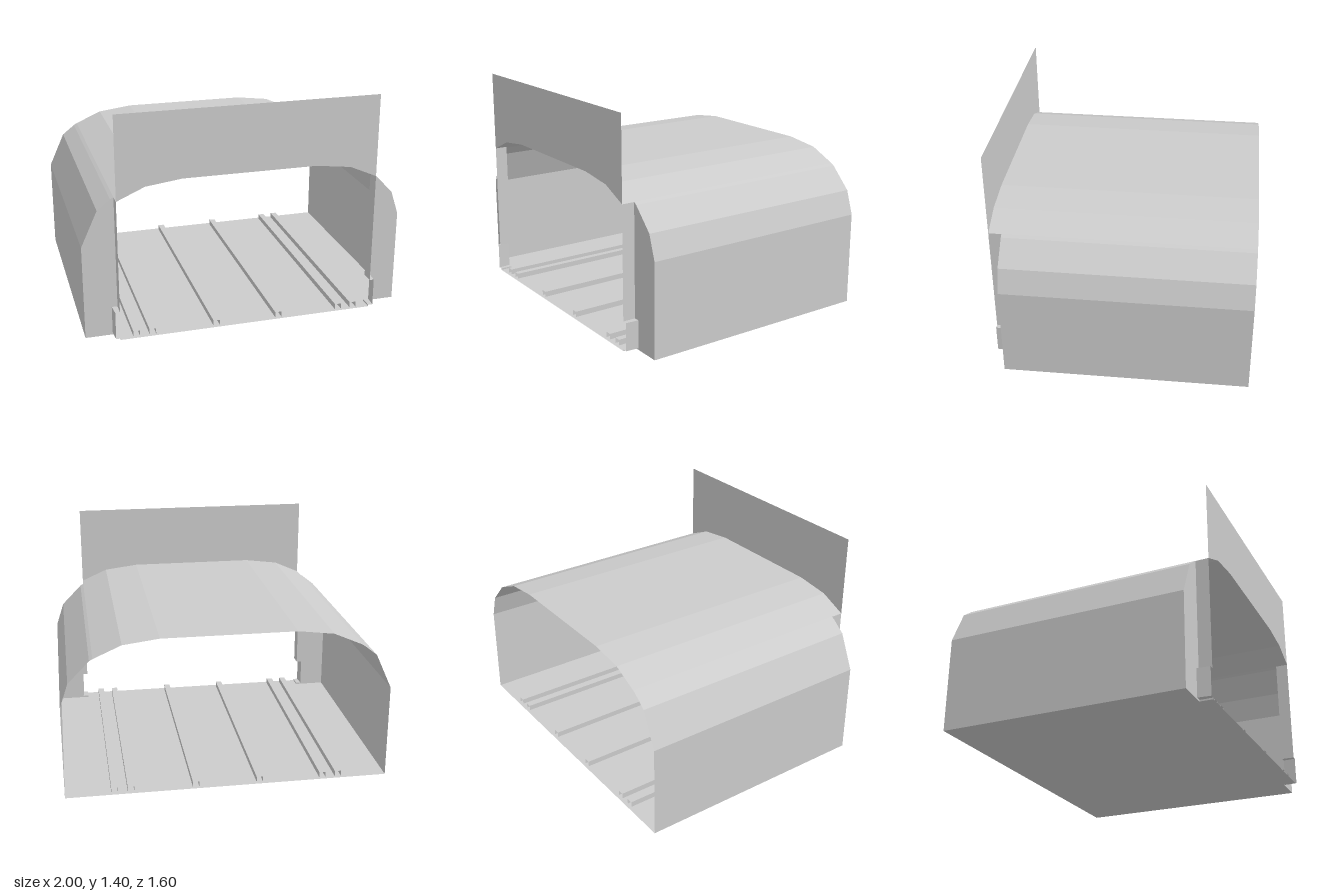
import * as THREE from 'three';

const BACK = -0.8, WALL = 0.72, FRONT = 0.8;

// Roof cross-section between the jambs, from +x to -x
const ROOF = [[0.8, 0.885], [0.63, 0.96], [0.41, 0.988], [-0.41, 0.988], [-0.63, 0.96], [-0.8, 0.885]];
const LEFT_SIDE = [[1, 0], [1, 0.59], [0.95, 0.74], [0.82, 0.873]];
const RIGHT_SIDE = [[-0.82, 0.873], [-0.9, 0.81], [-1, 0.59], [-1, 0]];

export function createModel() {
  const group = new THREE.Group();
  const material = new THREE.MeshStandardMaterial({ color: 0xcccccc, flatShading: true, side: THREE.DoubleSide });

  function add(name, geometry, z = 0) {
    const mesh = new THREE.Mesh(geometry, material);
    mesh.name = name;
    mesh.position.z = z;
    group.add(mesh);
  }

  // Thin sheet joining a profile at the back to one at the front
  function sheet(name, points, z0, z1, frontPoints = points) {
    const pos = [];
    for (let i = 0; i < points.length - 1; i++) {
      const a = [...frontPoints[i], z1], b = [...points[i], z0];
      const c = [...points[i + 1], z0], d = [...frontPoints[i + 1], z1];
      pos.push(...a, ...b, ...c, ...a, ...c, ...d);
    }
    const geometry = new THREE.BufferGeometry();
    geometry.setAttribute('position', new THREE.Float32BufferAttribute(pos, 3));
    geometry.computeVertexNormals();
    add(name, geometry);
  }

  function plate(name, points, z) {
    const shape = new THREE.Shape(points.map(([x, y]) => new THREE.Vector2(x, y)));
    add(name, new THREE.ShapeGeometry(shape), z);
  }

  // Arched shell and the roof lip reaching to the front panel
  sheet('shell', [...LEFT_SIDE, ...ROOF, ...RIGHT_SIDE], BACK, WALL);
  sheet('roofLip', ROOF, WALL, FRONT);

  // Floor with a narrower front tongue
  sheet('floor', [[-1, 0], [1, 0]], BACK, WALL);
  sheet('floorLip', [[-0.8, 0], [0.8, 0]], WALL, FRONT);

  // Tall panel over the opening, its lower edge following the arch
  plate('headerPanel', [[-0.8, 1.4], ...[...ROOF].reverse(), [0.8, 1.4]], FRONT);

  // Front walls beside the opening
  const recess = [[0.8, 0.885], [0.8, 0.185], [0.835, 0.185], [0.835, 0.01], [0.8, 0.01], [0.8, 0]];
  const recessFront = recess.map(([x, y]) => [x > 0.8 ? 0.828 : x, y]);
  const mirror = (points) => points.map(([x, y]) => [-x, y]);
  plate('leftFrontWall', [...LEFT_SIDE, ...recess], WALL);
  plate('rightFrontWall', [...RIGHT_SIDE, ...mirror(recess).reverse()], WALL);

  // Jambs with a small recess at the foot
  sheet('leftJamb', recess, WALL, FRONT, recessFront);
  sheet('rightJamb', mirror(recess), WALL, FRONT, mirror(recessFront));

  // Floor rails, open at both ends
  for (const x of [-0.7, -0.6, -0.2, 0.2, 0.6, 0.7]) {
    const w = 0.02, h = 0.035;
    sheet('floorRail', [[x + w, 0], [x + w, h], [x - w, h], [x - w, 0]], -0.78, 0.78);
  }
  return group;
}
